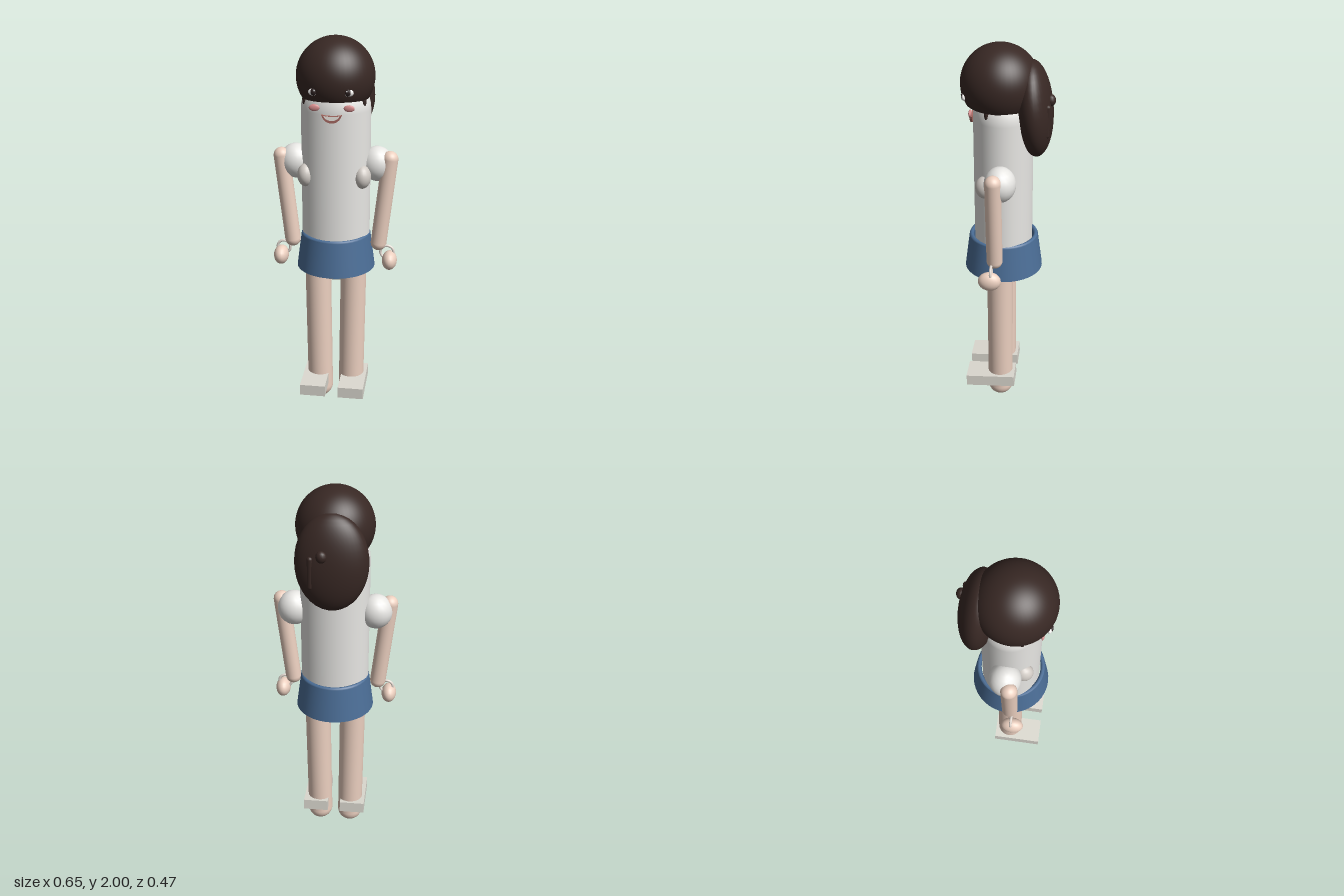
import * as THREE from 'three';

const paint = (color, side = THREE.FrontSide) => new THREE.MeshStandardMaterial({ color, side });
const HAIR = 0x382824, SKIN = 0xecd0c0, WHITE = 0xe8e7e4, BLUE = 0x4c6f98;

export function createModel() {
  const model = new THREE.Group();

  const add = (name, geometry, color, pos, side) => {
    const mesh = new THREE.Mesh(geometry, paint(color, side));
    mesh.name = name;
    mesh.position.set(...pos);
    model.add(mesh);
    return mesh;
  };
  const ellipsoid = (name, color, pos, radii, seg = 32) => {
    const mesh = add(name, new THREE.SphereGeometry(1, seg, seg / 2), color, pos);
    mesh.scale.set(...radii);
    return mesh;
  };
  // Capsule whose end-cap centres lie at a and b
  const limb = (name, color, a, b, r, seg = 24) => {
    const p = new THREE.Vector3(...a), q = new THREE.Vector3(...b);
    const dir = q.clone().sub(p);
    const mesh = add(name, new THREE.CapsuleGeometry(r, dir.length(), 10, seg), color,
      p.add(q).multiplyScalar(0.5).toArray());
    mesh.quaternion.setFromUnitVectors(new THREE.Vector3(0, 1, 0), dir.normalize());
    return mesh;
  };

  // Torso: one oval capsule running from the hips up into the hair
  const profile = [];
  for (let i = 0; i <= 10; i++) {
    const t = (i / 10 - 1) * Math.PI / 2;
    profile.push(new THREE.Vector2(Math.cos(t) * 0.176, 0.89 + Math.sin(t) * 0.175));
  }
  for (let i = 0; i <= 10; i++) {
    const t = (i / 10) * Math.PI / 2;
    profile.push(new THREE.Vector2(Math.cos(t) * 0.176, 1.64 + Math.sin(t) * 0.17));
  }
  profile[0].x = profile[profile.length - 1].x = 0;
  add('torso', new THREE.LatheGeometry(profile, 40), WHITE, [0, 0, 0.025]).scale.z = 0.85;

  // Skirt with a slim waistband
  add('skirt', new THREE.CylinderGeometry(0.18, 0.204, 0.18, 40, 1, true), BLUE,
    [0, 0.89, 0.025], THREE.DoubleSide);
  const waist = add('waistband', new THREE.TorusGeometry(0.168, 0.012, 8, 40), BLUE, [0, 0.979, 0.025]);
  waist.rotation.x = Math.PI / 2;

  // Hair: open cap, full back volume and small ornaments
  add('hairCap', new THREE.SphereGeometry(0.195, 48, 32, 0, Math.PI * 2, 0, 2.14), HAIR,
    [0, 1.805, 0.04], THREE.DoubleSide).rotation.x = -0.05;
  ellipsoid('backHair', HAIR, [0, 1.68, -0.127], [0.18, 0.243, 0.094], 40).rotation.x = 0.08;
  ellipsoid('hairBun', HAIR, [0.04, 1.74, -0.21], [0.027, 0.03, 0.024], 16);
  limb('hairStrand', HAIR, [0.095, 1.58, -0.195], [0.095, 1.72, -0.198], 0.015, 10);

  // Mouth: half-moon lips with a strip of teeth
  const smile = (w, h) => {
    const s = new THREE.Shape();
    s.moveTo(-w, 0);
    s.quadraticCurveTo(0, -h * 0.2, w, 0);
    s.bezierCurveTo(w * 0.7, -h, -w * 0.7, -h, -w, 0);
    return s;
  };
  const slab = (shape, depth) => new THREE.ExtrudeGeometry(shape, { depth, bevelEnabled: false, curveSegments: 12 });
  add('lips', slab(smile(0.05, 0.055), 0.012), 0xa86a62, [0, 1.642, 0.175]);
  add('teeth', slab(smile(0.039, 0.03), 0.004), 0xf0ece6, [0, 1.637, 0.186]);

  for (const s of [1, -1]) {
    const side = s > 0 ? 'left' : 'right';

    // Face details
    ellipsoid(side + 'Cheek', 0xd98f8f, [s * 0.085, 1.675, 0.178], [0.027, 0.017, 0.008], 16);
    ellipsoid(side + 'EyeWhite', 0xf2f0ee, [s * 0.085, 1.757, 0.205], [0.025, 0.018, 0.012], 16);
    ellipsoid(side + 'Iris', 0x2c2020, [s * 0.083, 1.759, 0.212], [0.015, 0.017, 0.009], 12);
    ellipsoid(side + 'EyeGlint', 0xffffff, [s * 0.078, 1.766, 0.22], [0.004, 0.004, 0.004], 8);
    ellipsoid(side + 'SideLock', HAIR, [s * 0.145, 1.695, 0.09], [0.014, 0.035, 0.012], 12);

    // Chest and puffed sleeve
    ellipsoid(side + 'Chest', 0xd2ccc6, [s * 0.143, 1.31, 0.1], [0.044, 0.06, 0.052], 24);
    ellipsoid(side + 'Sleeve', WHITE, [s * 0.208, 1.36, 0.02], [0.085, 0.09, 0.08], 24);

    // Arm, bracelet and hand
    limb(side + 'Arm', SKIN, [s * 0.277, 1.393, 0.047], [s * 0.226, 0.94, 0.047], 0.041);
    add(side + 'Bracelet', new THREE.TorusGeometry(0.034, 0.007, 8, 24), 0xe6dcd4, [s * 0.272, 0.895, 0.06]);
    ellipsoid(side + 'Hand', SKIN, [s * 0.286, 0.852, 0.067], [0.039, 0.05, 0.059], 24);

    // Leg and slab shoe
    limb(side + 'Leg', SKIN, [s * 0.095, 0.82, 0.035], [s * 0.085, 0.068, 0.035], 0.068, 28);
    add(side + 'Shoe', new THREE.BoxGeometry(0.136, 0.062, 0.264), 0xdcd9d0, [s * 0.103, 0.128, 0.084])
      .rotation.x = 0.04;
  }
  return model;
}
